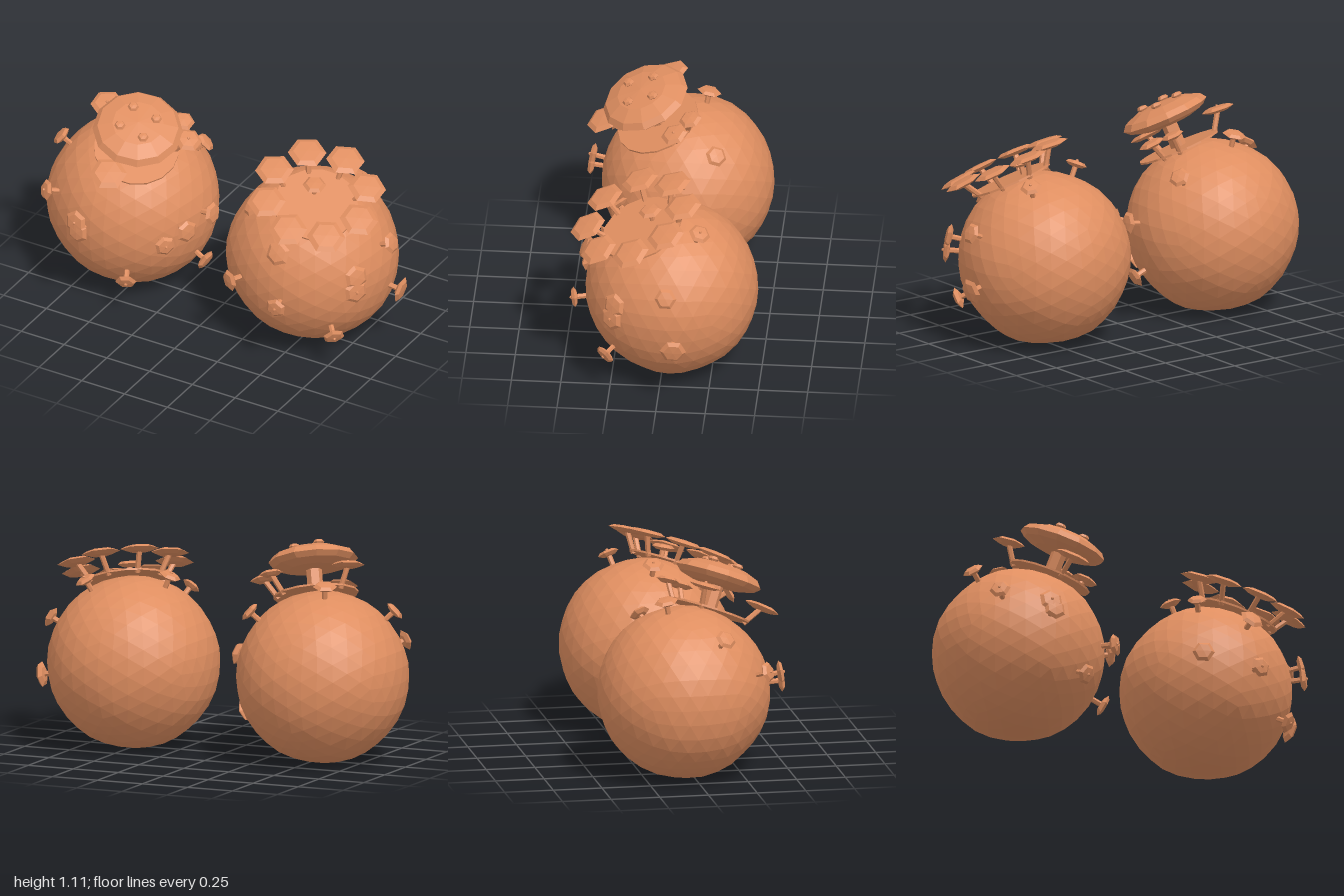
import * as THREE from 'three';

const terracotta = new THREE.MeshStandardMaterial({ color: 0xdf8e60, flatShading: true });
terracotta.name = 'terracotta';

const UP = new THREE.Vector3(0, 1, 0);
const RADIUS = 0.437;
const AXIS = new THREE.Vector3(0.24, 0.91, 0.34).normalize();
// Axes across the tilted crown: U runs along x, V along z
const U = new THREE.Vector3(1, 0, 0).addScaledVector(AXIS, -AXIS.x).normalize();
const V = new THREE.Vector3().crossVectors(U, AXIS).normalize();

function add(parent, name, geometry) {
  const mesh = new THREE.Mesh(geometry, terracotta);
  mesh.name = name;
  parent.add(mesh);
  return mesh;
}

// Lens-shaped polygon plate, facing +y
function plateGeometry(r, half, sides) {
  const profile = [[0, -half], [r * 0.6, -half * 0.8], [r, 0], [r * 0.72, half * 0.8], [0, half]];
  return new THREE.LatheGeometry(profile.map(([x, y]) => new THREE.Vector2(x, y)), sides);
}

function stem(parent, from, to, r) {
  const along = to.clone().sub(from);
  const mesh = add(parent, 'stem', new THREE.CylinderGeometry(r, r, along.length(), 6));
  mesh.position.copy(from).addScaledVector(along, 0.5);
  mesh.quaternion.setFromUnitVectors(UP, along.normalize());
}

// Polygon plate on a short stem
function stud(parent, name, base, centre, normal, r, knob, sides = 6) {
  const group = new THREE.Group();
  group.name = name;
  parent.add(group);
  stem(group, base, centre, 0.014);
  const head = add(group, 'plate', plateGeometry(r, 0.017, sides));
  head.position.copy(centre);
  head.quaternion.setFromUnitVectors(UP, normal);
  if (knob) {
    const tip = add(head, 'knob', new THREE.IcosahedronGeometry(0.009, 0));
    tip.position.y = 0.017;
  }
}

// Slightly lumpy faceted ball
function ballGeometry() {
  const geometry = new THREE.IcosahedronGeometry(1, 5);
  const p = geometry.attributes.position;
  const v = new THREE.Vector3();
  for (let i = 0; i < p.count; i++) {
    v.fromBufferAttribute(p, i).normalize();
    const lump = Math.sin(7 * v.x + 2 * v.y) * Math.sin(6 * v.y + 1) + Math.sin(8 * v.z + 3 * v.x);
    v.multiplyScalar(RADIUS * (1 + 0.006 * lump));
    p.setXYZ(i, v.x, v.y, v.z);
  }
  geometry.computeVertexNormals();
  return geometry;
}

function makeBall(name, x, studs) {
  const group = new THREE.Group();
  group.name = name;
  group.position.set(x, 0.437, -0.045);
  add(group, 'ball', ballGeometry());

  // Thin disc tangent to the tilted crown
  const disc = add(group, 'crownDisc', new THREE.CylinderGeometry(0.215, 0.215, 0.01, 16));
  disc.position.copy(AXIS).multiplyScalar(0.432);
  disc.quaternion.setFromUnitVectors(UP, AXIS);

  // Radial studs: direction, plate radius, knob
  for (const [dx, dy, dz, r, knob] of studs) {
    const n = new THREE.Vector3(dx, dy, dz).normalize();
    stud(group, 'stud', n.clone().multiplyScalar(0.42), n.clone().multiplyScalar(0.498), n, r, knob);
  }
  return group;
}

// Plate of the ring around the crown
function ringPlate(parent, degrees, r, knob) {
  const a = THREE.MathUtils.degToRad(degrees);
  const out = U.clone().multiplyScalar(Math.cos(a)).addScaledVector(V, Math.sin(a));
  const base = AXIS.clone().multiplyScalar(0.42).addScaledVector(out, 0.19);
  const centre = AXIS.clone().multiplyScalar(0.525).addScaledVector(out, 0.258);
  const normal = AXIS.clone().addScaledVector(out, 0.1).normalize();
  stud(parent, 'ringPlate', base, centre, normal, r, knob);
}

export function createModel() {
  const model = new THREE.Group();
  model.name = 'studdedBalls';

  const capped = makeBall('cappedBall', -0.56, [
    [-0.33, 0.34, 0.155, 0.055, false],
    [-0.29, 0.155, 0.385, 0.055, true],
    [-0.05, 0.09, 0.48, 0.065, true],
    [-0.035, 0.045, 0.49, 0.06, false],
    [0.19, -0.235, 0.4, 0.055, true],
    [0.46, -0.215, 0.05, 0.058, false],
    [0.38, 0, 0.33, 0.055, true],
    [0.44, 0.05, 0.22, 0.06, false],
    [0.5, 0.08, 0.05, 0.06, false],
    [0.33, 0.34, -0.165, 0.055, false],
    [-0.06, 0.48, -0.1, 0.062, false],
  ]);
  model.add(capped);
  ringPlate(capped, 206, 0.085, true);
  ringPlate(capped, 96, 0.095, false);
  ringPlate(capped, -54, 0.06, false);
  ringPlate(capped, -28, 0.07, true);

  // Broad domed cap on a thick stalk
  stem(capped, AXIS.clone().multiplyScalar(0.41), AXIS.clone().multiplyScalar(0.58), 0.04);
  const profile = [[0, -0.05], [0.13, -0.045], [0.2, -0.025], [0.228, 0], [0.205, 0.03], [0.13, 0.058], [0, 0.07]];
  const cap = add(capped, 'cap', new THREE.LatheGeometry(profile.map(([r, y]) => new THREE.Vector2(r, y)), 12));
  cap.position.copy(AXIS).multiplyScalar(0.61);
  cap.quaternion.setFromUnitVectors(UP, AXIS);
  for (const sx of [-1, 1]) {
    for (const sz of [-1, 1]) {
      const bump = add(cap, 'capBump', plateGeometry(0.029, 0.016, 6));
      bump.position.set(sx * 0.068, 0.07, sz * 0.066);
    }
  }

  const ringed = makeBall('ringedBall', 0.49, [
    [-0.23, 0, 0.45, 0.057, false],
    [0.07, -0.045, 0.5, 0.055, true],
    [0.05, 0.245, 0.44, 0.065, false],
    [0.31, -0.235, 0.32, 0.057, true],
    [0.41, 0.12, 0.265, 0.065, false],
    [0.41, 0.045, 0.275, 0.065, true],
    [0.46, 0.2, 0, 0.056, false],
    [0.49, -0.09, -0.04, 0.068, false],
    [-0.2, 0.455, 0.005, 0.057, true],
    [-0.19, 0.365, 0.29, 0.05, false],
    [0.07, 0.47, 0.105, 0.06, false],
    [0.2, 0.44, -0.155, 0.056, true],
  ]);
  model.add(ringed);
  for (let i = 0; i < 8; i++) ringPlate(ringed, -84 + i * 45, 0.098, false);

  return model;
}
